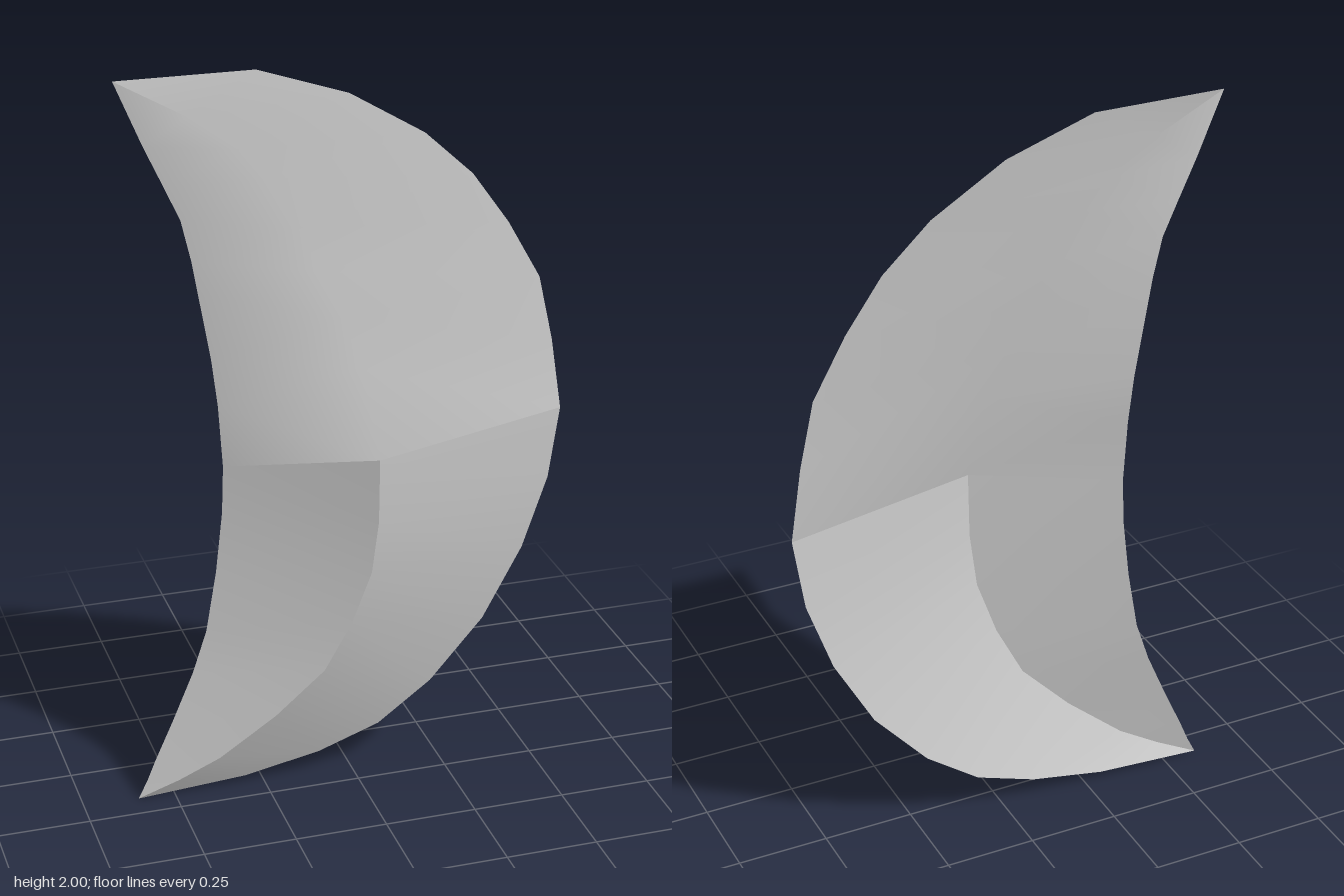
import * as THREE from 'three';

// Rails from the top tip to the bottom tip; both rims lie on the plane z = RIM
const RIM = -0.075;
const inner = [
  [-0.6, 2], [-0.53, 1.83], [-0.48, 1.72], [-0.44, 1.63], [-0.415, 1.52], [-0.4, 1.43],
  [-0.37, 1.25], [-0.355, 1.12], [-0.345, 0.95], [-0.35, 0.82], [-0.37, 0.65], [-0.4, 0.48],
  [-0.44, 0.36], [-0.5, 0.22], [-0.55, 0.11], [-0.575, 0.05], [-0.6, 0],
];
const ridge = [
  [-0.6, 2, RIM], [-0.42, 1.9, -0.06], [-0.3, 1.81, -0.05], [-0.225, 1.73, -0.04],
  [-0.15, 1.6, -0.025], [-0.1, 1.48, -0.01], [-0.045, 1.36, 0.01], [0, 1.22, 0.036],
  [0.035, 0.98, 0.075], [0.035, 0.8, 0.067], [0.02, 0.65, 0.054], [-0.03, 0.5, 0.037],
  [-0.1, 0.36, 0.018], [-0.23, 0.23, -0.007], [-0.38, 0.11, -0.036], [-0.49, 0.05, -0.055],
  [-0.6, 0, RIM],
];
const outer = [
  [-0.6, 2], [-0.24, 2], [0, 1.92], [0.2, 1.8], [0.33, 1.68], [0.43, 1.54], [0.52, 1.38],
  [0.56, 1.2], [0.59, 1], [0.56, 0.8], [0.49, 0.6], [0.38, 0.4], [0.23, 0.23], [0.08, 0.12],
  [-0.09, 0.06], [-0.3, 0.02], [-0.6, 0],
];
const MIDDLE = 8;
const TIP = ridge.length - 1;

// Lofts a strip across neighbouring rails between two stations
function loft(rails, from, to) {
  const positions = [], index = [];
  const n = rails.length;
  for (let i = from; i <= to; i++) {
    for (const rail of rails) {
      const [x, y, z = RIM] = rail[i];
      positions.push(x, y, z);
    }
  }
  for (let i = from; i < to; i++) {
    for (let j = 0; j < n - 1; j++) {
      const a = (i - from) * n + j, b = a + n;
      if (i < TIP - 1) index.push(a, b, b + 1);
      else index.push(a, b, a + 1);
      if (i > 0 && i < TIP - 1) index.push(a, b + 1, a + 1);
    }
  }
  const geometry = new THREE.BufferGeometry();
  geometry.setAttribute('position', new THREE.Float32BufferAttribute(positions, 3));
  geometry.setIndex(index);
  geometry.computeVertexNormals();
  return geometry;
}

export function createModel() {
  const group = new THREE.Group();
  group.name = 'crescent';
  const grey = new THREE.MeshStandardMaterial({ color: 0xcccccc, side: THREE.DoubleSide });
  grey.name = 'light grey';

  const add = (name, rails, from, to) => {
    const mesh = new THREE.Mesh(loft(rails, from, to), grey);
    mesh.name = name;
    group.add(mesh);
  };

  // The upper half rolls softly over the ridge; the lower half has a sharp ridge
  add('upperShell', [inner, ridge, outer], 0, MIDDLE);
  add('lowerInnerSlope', [inner, ridge], MIDDLE, TIP);
  add('lowerOuterSlope', [ridge, outer], MIDDLE, TIP);
  return group;
}
